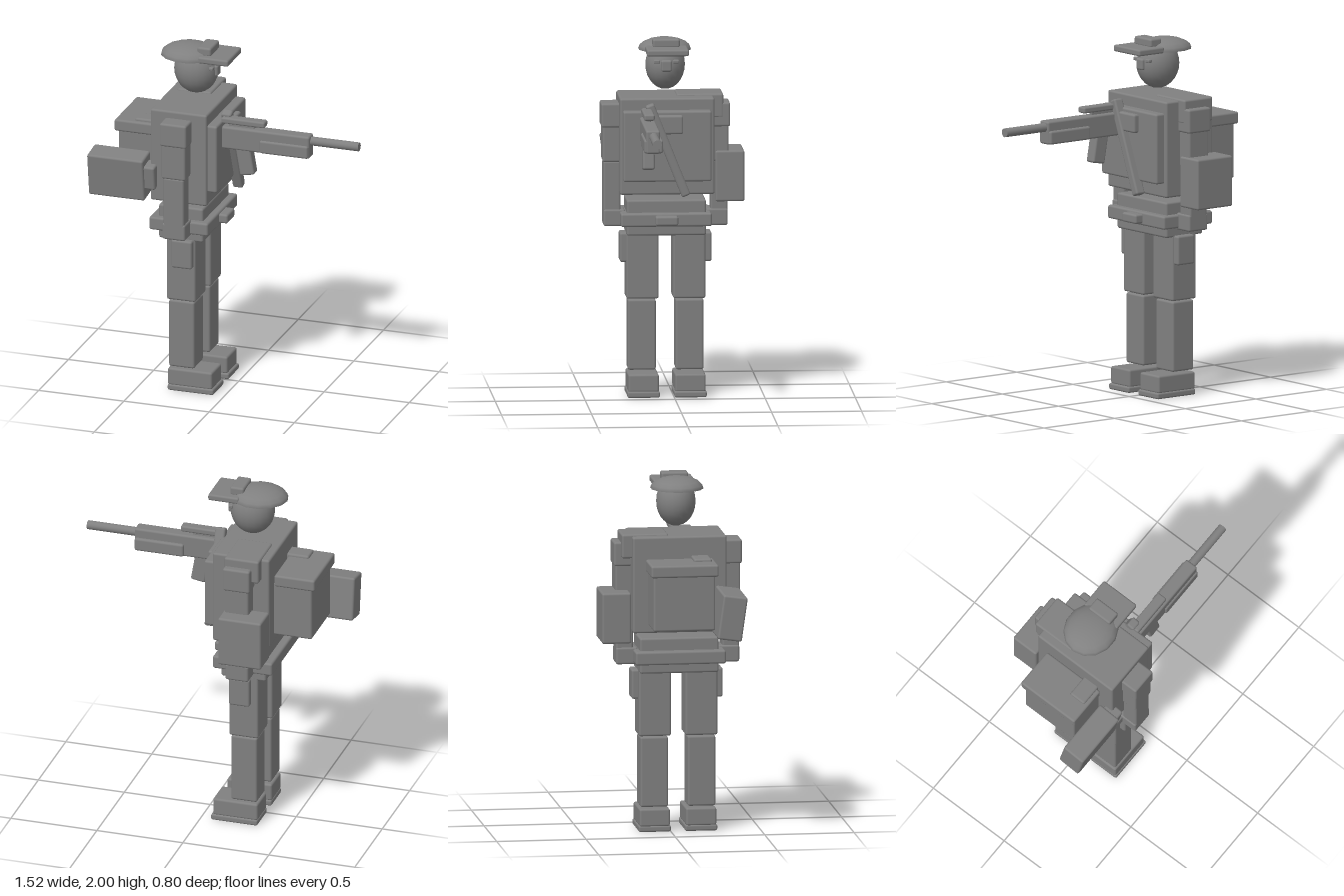
import * as THREE from 'three';
import { RoundedBoxGeometry } from 'three/addons/geometries/RoundedBoxGeometry.js';

const grey = new THREE.MeshStandardMaterial({ color: 0x808080 });
grey.name = 'grey';
const MID = 0.04; // z of the figure's plane of symmetry

export function createModel() {
  const model = new THREE.Group();
  model.name = 'soldier';

  const add = (name, geometry, x, y, z) => {
    const mesh = new THREE.Mesh(geometry, grey);
    mesh.name = name;
    mesh.position.set(x, y, z);
    model.add(mesh);
    return mesh;
  };
  // Soft-edged box between two limits on each axis
  const box = (name, x0, x1, y0, y1, z0, z1) => {
    const w = x1 - x0, h = y1 - y0, d = z1 - z0;
    const r = Math.min(0.012, Math.min(w, h, d) * 0.3);
    return add(name, new RoundedBoxGeometry(w, h, d, 2, r), (x0 + x1) / 2, (y0 + y1) / 2, (z0 + z1) / 2);
  };
  // Box on both sides; a and b are distances from the symmetry plane
  const pair = (name, x0, x1, y0, y1, a, b) => {
    box(name + 'Right', x0, x1, y0, y1, MID + a, MID + b);
    box(name + 'Left', x0, x1, y0, y1, MID - b, MID - a);
  };

  // Legs
  pair('sole', -0.33, -0.06, 0, 0.035, 0.04, 0.22);
  pair('boot', -0.33, -0.07, 0.03, 0.13, 0.045, 0.215);
  pair('shin', -0.325, -0.175, 0.14, 0.535, 0.055, 0.21);
  pair('thigh', -0.335, -0.165, 0.54, 0.92, 0.04, 0.22);
  pair('thighPouch', -0.295, -0.175, 0.745, 0.91, 0.2, 0.255);

  // Hips and belt
  box('pelvis', -0.38, -0.12, 0.9, 1.1, -0.18, 0.26);
  box('belt', -0.425, -0.08, 0.955, 1.03, -0.21, 0.295);
  box('buckle', -0.09, -0.03, 0.967, 1.02, -0.02, 0.105);

  // Torso
  box('torso', -0.415, -0.085, 1.135, 1.675, -0.225, 0.3);
  box('chestPlate', -0.11, -0.03, 1.215, 1.61, -0.205, 0.285);
  box('chestPouch', -0.04, 0, 1.485, 1.59, -0.045, 0.12);
  box('shoulderPad', -0.37, -0.17, 1.55, 1.685, -0.28, -0.02);
  const sling = box('sling', -0.05, 0.01, 1.12, 1.67, 0.015, 0.065);
  sling.rotation.x = 0.38;

  // Arms
  pair('upperArm', -0.32, -0.18, 1.305, 1.56, 0.25, 0.35);
  pair('shoulder', -0.328, -0.172, 1.5, 1.635, 0.25, 0.358);
  pair('forearm', -0.31, -0.19, 1.0, 1.31, 0.25, 0.345);
  pair('hand', -0.317, -0.183, 0.945, 1.04, 0.225, 0.345);
  box('armShield', -0.42, -0.17, 1.08, 1.365, -0.397, -0.235);

  // Head and face
  const head = add('head', new THREE.SphereGeometry(1, 20, 14), -0.235, 1.845, MID);
  head.scale.set(0.125, 0.138, 0.11);
  box('nose', -0.14, -0.1, 1.82, 1.885, MID - 0.03, MID + 0.03);
  pair('eye', -0.14, -0.115, 1.865, 1.885, 0.036, 0.07);

  // Cap: low dome closed underneath
  const dome = new THREE.SphereGeometry(1, 14, 5, 0, Math.PI * 2, 0, Math.PI / 2);
  const crown = add('capCrown', dome, -0.275, 1.925, MID);
  crown.scale.set(0.162, 0.066, 0.148);
  const base = add('capUnderside', new THREE.CircleGeometry(1, 14), -0.275, 1.925, MID);
  base.rotation.x = Math.PI / 2;
  base.scale.set(0.162, 0.148, 1);
  box('capPeak', -0.19, -0.01, 1.92, 1.957, MID - 0.118, MID + 0.115);
  box('capBadge', -0.205, -0.125, 1.95, 2, MID - 0.075, MID + 0.075);

  // Rifle
  box('receiver', -0.045, 0.48, 1.45, 1.58, 0.117, 0.195);
  box('handguard', 0.19, 0.475, 1.452, 1.527, 0.1, 0.205);
  box('sight', -0.04, 0.215, 1.595, 1.63, 0.128, 0.187);
  box('sightMount', 0, 0.15, 1.57, 1.605, 0.145, 0.168);
  const barrel = add('barrel', new THREE.CylinderGeometry(0.025, 0.025, 0.32, 16), 0.6, 1.545, 0.152);
  barrel.rotation.z = Math.PI / 2;
  const magazine = box('magazine', 0.057, 0.142, 1.305, 1.475, 0.123, 0.19);
  magazine.rotation.z = 0.17;

  // Backpack
  box('backpack', -0.635, -0.4, 1.18, 1.5, -0.14, 0.205);
  box('backpackLid', -0.655, -0.42, 1.485, 1.553, -0.155, 0.222);
  box('backpackClip', -0.54, -0.405, 1.5, 1.568, 0.1, 0.2);

  // Leaning side bag and its bracket
  const bag = box('sideBag', -0.765, -0.437, 1.143, 1.393, 0.217, 0.353);
  const bracket = box('sideBagBracket', -0.45, -0.377, 1.21, 1.35, 0.24, 0.34);
  bag.rotation.x = bracket.rotation.x = 0.14;

  return model;
}
